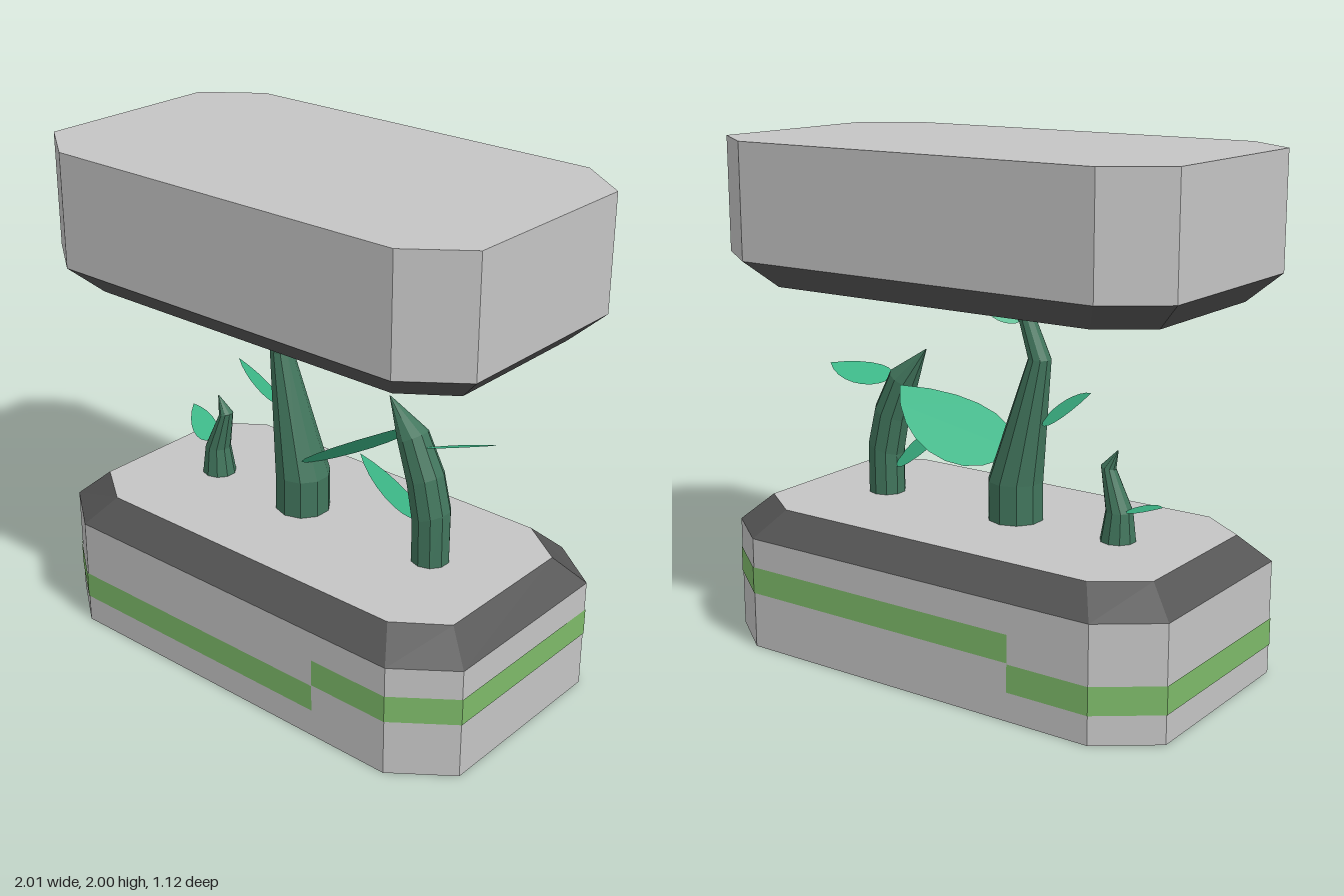
import * as THREE from 'three';

const mat = (name, color, side = THREE.FrontSide) => {
  const m = new THREE.MeshStandardMaterial({ color, side });
  m.name = name;
  return m;
};

// Octagonal outlines as [x, z], counter-clockwise seen from above
const octagon = (X, Z, cx, cz) => [
  [-cx, Z], [cx, Z], [X, cz], [X, -cz], [cx, -Z], [-cx, -Z], [-X, -cz], [-X, cz],
];
const OUTER = octagon(1, 0.555, 0.78, 0.39);
const INNER = octagon(0.89, 0.445, 0.7, 0.31);

// Flat-sided strip between a lower and an upper path
function band(lower, y0, upper, y1, closed) {
  const pos = [];
  const n = lower.length;
  for (let i = 0; i < (closed ? n : n - 1); i++) {
    const j = (i + 1) % n;
    const a = [lower[i][0], y0, lower[i][1]], b = [lower[j][0], y0, lower[j][1]];
    const c = [upper[j][0], y1, upper[j][1]], d = [upper[i][0], y1, upper[i][1]];
    pos.push(...a, ...b, ...c, ...a, ...c, ...d);
  }
  const g = new THREE.BufferGeometry();
  g.setAttribute('position', new THREE.Float32BufferAttribute(pos, 3));
  g.computeVertexNormals();
  return g;
}

// Horizontal cap filling an outline, facing up (1) or down (-1)
function cap(outline, y, dir) {
  const shape = new THREE.Shape(outline.map(([x, z]) => new THREE.Vector2(x, -z)));
  return new THREE.ShapeGeometry(shape).rotateX(-dir * Math.PI / 2).translate(0, y, 0);
}

// Faceted stem through rings of [x, y, radius, tilt]
function stemGeometry(rings) {
  const n = rings.length - 1;
  const g = new THREE.CylinderGeometry(1, 1, 1, 10, n, true);
  const p = g.attributes.position;
  for (let i = 0; i < p.count; i++) {
    const [x, y, r, tilt = 0] = rings[Math.round((p.getY(i) + 0.5) * n)];
    const u = p.getX(i) * r;
    p.setXYZ(i, x + u * Math.cos(tilt), y + u * Math.sin(tilt), p.getZ(i) * r);
  }
  const flat = g.toNonIndexed();
  flat.computeVertexNormals();
  return flat;
}

// Unit leaf: length along x, full width 1 along y
const leafShape = new THREE.Shape();
leafShape.moveTo(0, 0);
leafShape.bezierCurveTo(0.05, -0.667, 0.6, -0.667, 1, 0);
leafShape.bezierCurveTo(0.6, 0.667, 0.05, 0.667, 0, 0);

// Flat leaf from base to tip, with a vector spanning its full width
function leafGeometry(base, tip, width) {
  const b = new THREE.Vector3(...base);
  const d = new THREE.Vector3(...tip).sub(b);
  const w = new THREE.Vector3(...width);
  const n = d.clone().cross(w).normalize();
  const m = new THREE.Matrix4().makeBasis(d, w, n).setPosition(b);
  return new THREE.ShapeGeometry(leafShape, 8).applyMatrix4(m);
}

export function createModel() {
  const stone = mat('light grey', 0xc4c4c4);
  const trim = mat('dark grey', 0x555555);
  const stripeMat = mat('stripe green', 0x7db969);
  const stemMat = mat('stem green', 0x41755c);
  const leafMat = mat('leaf green', 0x3cb586, THREE.DoubleSide);

  const model = new THREE.Group();
  const add = (parent, name, geometry, material) => {
    const mesh = new THREE.Mesh(geometry, material);
    mesh.name = name;
    parent.add(mesh);
    return mesh;
  };

  // Two matching slabs, the upper one turned over
  for (const name of ['lowerSlab', 'upperSlab']) {
    const slab = new THREE.Group();
    slab.name = name;
    add(slab, 'slabWall', band(OUTER, 0, OUTER, 0.45, true), stone);
    add(slab, 'slabOuterFace', cap(OUTER, 0, -1), stone);
    add(slab, 'slabBevel', band(OUTER, 0.45, INNER, 0.555, true), trim);
    add(slab, 'slabInnerFace', cap(INNER, 0.555, 1), stone);
    if (name === 'upperSlab') {
      slab.rotation.x = Math.PI;
      slab.position.y = 2;
    }
    model.add(slab);
  }

  // Stripe in two halves, one stepped above the other
  const e = 0.003;
  const path = [
    [0.44, 0.555 + e], [0.78 + e / 2, 0.555 + e], [1 + e, 0.39 + e / 2],
    [1 + e, -0.39 - e / 2], [0.78 + e / 2, -0.555 - e], [-0.44, -0.555 - e],
  ];
  add(model, 'highStripe', band(path, 0.225, path, 0.333, false), stripeMat);
  add(model, 'lowStripe', band(path, 0.113, path, 0.221, false), stripeMat).rotation.y = Math.PI;

  // Plants: a stem with its leaves as [base, tip, width]
  const plants = {
    tallPlant: {
      rings: [[-0.092, 0.55, 0.11], [-0.092, 0.71, 0.11], [-0.2, 1.2, 0.046],
        [-0.143, 1.345, 0.034, -0.5], [-0.085, 1.4, 0.022, -0.7], [-0.03, 1.45, 0.002]],
      leaves: [
        [[-0.215, 0.96, 0], [-0.43, 1.1, 0], [0.035, 0.055, 0.13]],
        [[-0.02, 0.775, 0], [0.395, 1.037, -0.1], [-0.045, 0.08, 0.375]],
        [[-0.12, 1.335, -0.01], [0, 1.41, -0.1], [-0.02, 0.035, 0.08]],
      ],
    },
    bentPlant: {
      rings: [[0.547, 0.55, 0.075], [0.547, 0.745, 0.078, 0.35], [0.515, 0.89, 0.075, 0.35],
        [0.452, 1.04, 0.063, 0.48], [0.34, 1.17, 0.002]],
      leaves: [
        [[0.53, 1.02, 0], [0.77, 1.075, -0.08], [-0.01, 0.045, 0.165]],
        [[0.485, 0.7, 0], [0.2, 0.885, 0], [0.055, 0.085, 0.21]],
      ],
    },
    smallPlant: {
      rings: [[-0.556, 0.55, 0.07], [-0.56, 0.67, 0.053], [-0.51, 0.83, 0.03, 0.2], [-0.55, 0.9, 0.002]],
      leaves: [[[-0.6, 0.68, 0], [-0.8, 0.75, -0.1], [0, 0, 0.13]]],
    },
  };
  for (const [name, { rings, leaves }] of Object.entries(plants)) {
    const plant = new THREE.Group();
    plant.name = name;
    add(plant, 'stem', stemGeometry(rings), stemMat);
    for (const l of leaves) add(plant, 'leaf', leafGeometry(...l), leafMat);
    model.add(plant);
  }
  return model;
}
